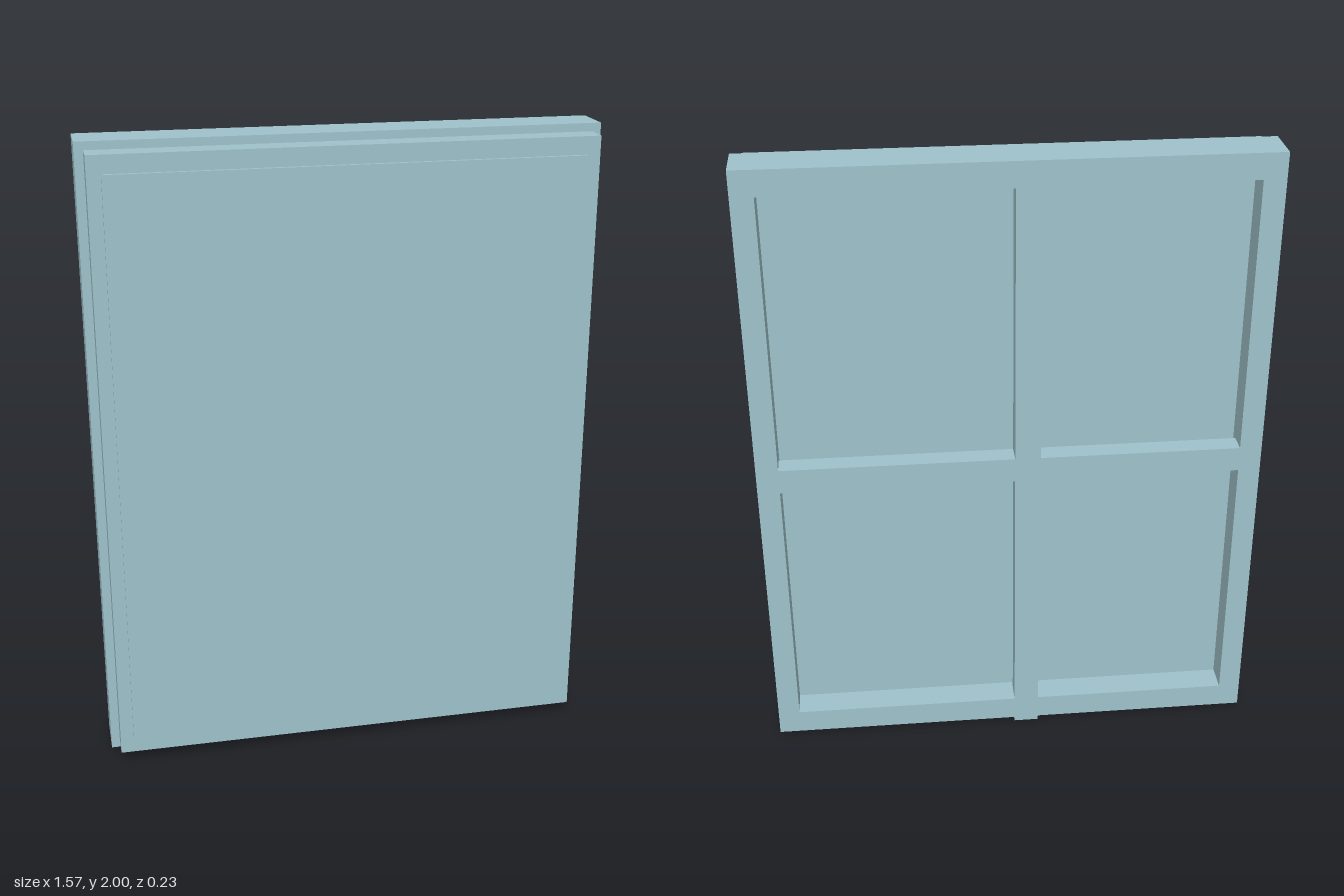
import * as THREE from 'three';

export function createModel() {
  const model = new THREE.Group();
  model.name = 'window';
  const paint = new THREE.MeshStandardMaterial({ color: 0x9ec2ca });
  paint.name = 'pale blue paint';

  const add = (name, geometry, x = 0, y = 0, z = 0) => {
    const mesh = new THREE.Mesh(geometry, paint);
    mesh.name = name;
    mesh.position.set(x, y, z);
    model.add(mesh);
  };

  // Box given by its limits on each axis
  const box = (name, [x0, x1], [y0, y1], [z0, z1]) =>
    add(name, new THREE.BoxGeometry(x1 - x0, y1 - y0, z1 - z0),
      (x0 + x1) / 2, (y0 + y1) / 2, (z0 + z1) / 2);

  const rectangle = (path, x, y0, y1) =>
    path.moveTo(-x, y0).lineTo(x, y0).lineTo(x, y1).lineTo(-x, y1).closePath();

  // Rectangular ring around the pane, between two depths
  const ring = (name, x, y0, y1, z0, z1) => {
    const shape = new THREE.Shape();
    rectangle(shape, x, y0, y1);
    const hole = new THREE.Path();
    rectangle(hole, 0.718, 0.095, 1.92);
    shape.holes.push(hole);
    add(name, new THREE.ExtrudeGeometry(shape, { depth: z1 - z0, bevelEnabled: false }), 0, 0, z0);
  };

  // Outer frame and the narrower sash in front of it
  ring('outerFrame', 0.787, 0.015, 2, -0.115, 0.025);
  ring('frontSash', 0.76, 0.04, 1.975, 0.025, 0.103);

  // Pane, standing slightly proud of the sash
  box('pane', [-0.718, 0.718], [0.095, 1.92], [-0.025, 0.115]);

  // Glazing bars on the back; the upright one reaches below the frame
  box('uprightBar', [-0.09, -0.01], [0, 1.95], [-0.115, -0.05]);
  box('crossBar', [-0.73, 0.73], [0.96, 1.04], [-0.115, -0.05]);

  return model;
}
